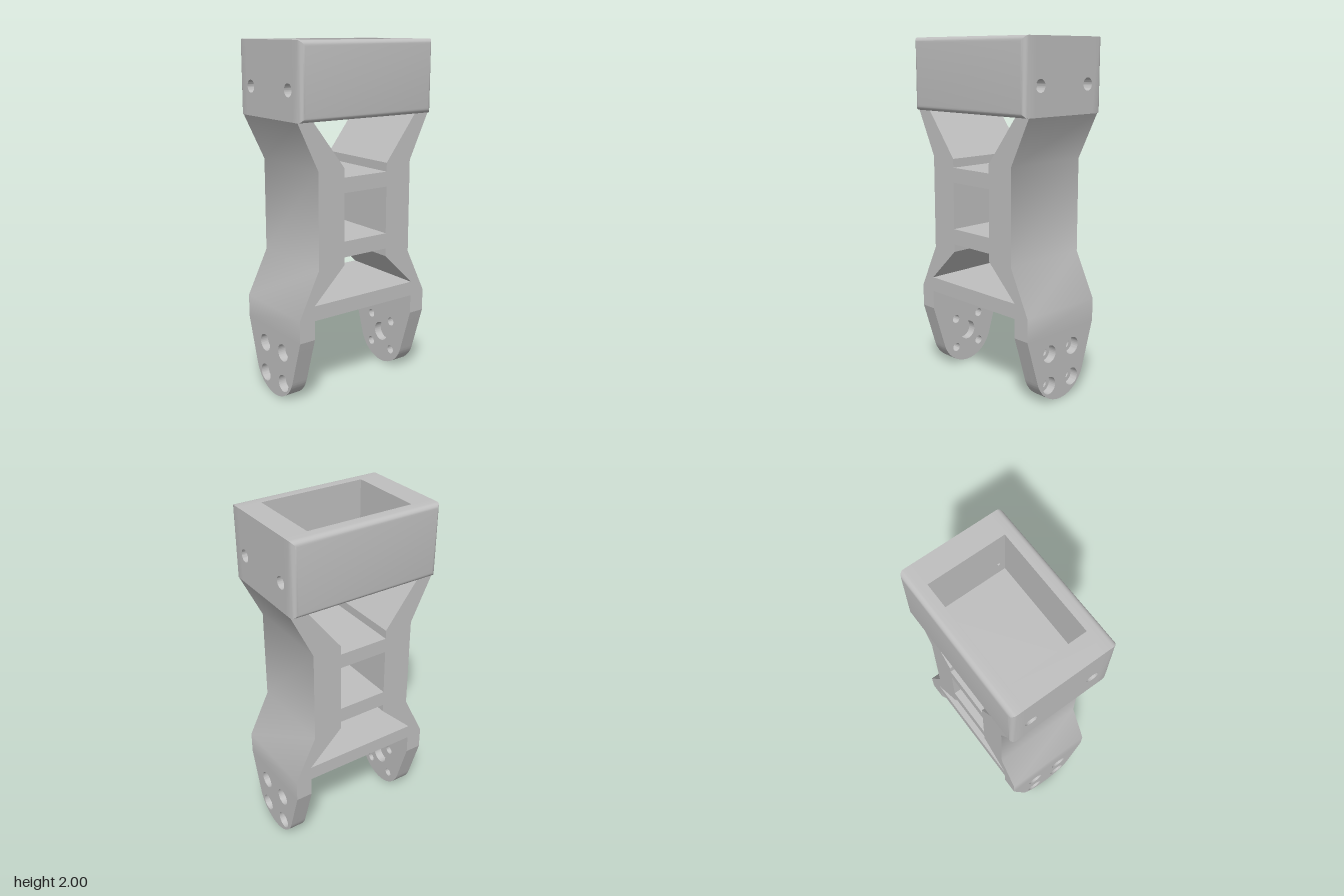
import * as THREE from 'three';
import { toCreasedNormals } from 'three/addons/utils/BufferGeometryUtils.js';

const CREASE = 0.6;
const HALF_W = 0.445, BOX_BOTTOM = 1.59, BOX_TOP = 2, FLOOR_TOP = 1.67;
const CAVITY_X = 0.312, CAVITY_Z = 0.223, FILLET = 0.03;

function polygon(points) {
  return new THREE.Shape(points.map(([x, y]) => new THREE.Vector2(x, y)));
}

function addHole(shape, x, y, r) {
  const hole = new THREE.Path();
  hole.absarc(x, y, r, 0, Math.PI * 2, true);
  shape.holes.push(hole);
}

function extrude(shape, depth) {
  const geo = new THREE.ExtrudeGeometry(shape, { depth, bevelEnabled: false, curveSegments: 32 });
  return toCreasedNormals(geo, CREASE);
}

// Plate drawn in the side plane (z, y), running from x0 to x1
function sidePlate(shape, x0, x1) {
  return extrude(shape, x1 - x0).rotateY(Math.PI / 2).translate(x0, 0, 0);
}

// Front wall of the socket, with a fillet around its outer face
function filletedWall() {
  const h = BOX_TOP - BOX_BOTTOM, steps = 6;
  const geo = new THREE.BoxGeometry(2 * HALF_W, h, 1, 1, 1, steps);
  const p = geo.attributes.position;
  for (let i = 0; i < p.count; i++) {
    const step = Math.round((p.getZ(i) + 0.5) * steps);
    const a = Math.max(0, step - 1) / (steps - 1) * Math.PI / 2;
    const inset = FILLET * (1 - Math.cos(a));
    const z = step === 0 ? CAVITY_Z : 0.27 + FILLET * Math.sin(a);
    p.setXYZ(i, p.getX(i) - Math.sign(p.getX(i)) * inset,
      p.getY(i) - Math.sign(p.getY(i)) * inset, z);
  }
  geo.translate(0, (BOX_TOP + BOX_BOTTOM) / 2, 0);
  return toCreasedNormals(geo, CREASE);
}

// Side wall of the socket with two screw holes
function socketSide(r) {
  const s = polygon([[-CAVITY_Z, BOX_BOTTOM], [CAVITY_Z, BOX_BOTTOM], [CAVITY_Z, BOX_TOP], [-CAVITY_Z, BOX_TOP]]);
  for (const z of [-0.183, 0.183]) addHole(s, z, 1.75, r);
  return s;
}

// Tapered foot plate with a round end and four bolt holes
function footShape(r, hubRadius) {
  const s = new THREE.Shape();
  const c = 0.195, t = -0.302;
  s.moveTo(0.268, 0.4);
  s.lineTo(-0.268, 0.4);
  s.absarc(0, c, c, Math.PI - t, 2 * Math.PI + t, false);
  s.closePath();
  for (const z of [-0.093, 0.093]) for (const y of [0.102, 0.288]) addHole(s, z, y, r);
  if (hubRadius) addHole(s, 0, c, hubRadius);
  return s;
}

// Braced frame outline with its two windows
function frameShape() {
  const half = [
    [0.147, 1.28], [0.147, 1.33], [0.348, BOX_BOTTOM], [HALF_W, BOX_BOTTOM], [0.318, 1.33],
    [0.318, 0.79], [HALF_W, 0.53], [HALF_W, 0.4], [0.348, 0.4], [0.348, 0.51],
  ];
  const mirror = half.map(([x, y]) => [-x, y]).reverse();
  const s = polygon([...half, ...mirror]);
  s.holes.push(polygon([[-0.147, 0.925], [0.147, 0.925], [0.147, 1.195], [-0.147, 1.195]]));
  s.holes.push(polygon([
    [-0.348, 0.595], [0.348, 0.595], [0.147, 0.79], [0.147, 0.835], [-0.147, 0.835], [-0.147, 0.79],
  ]));
  return s;
}

export function createModel() {
  const model = new THREE.Group();
  model.name = 'bracket';
  const grey = new THREE.MeshStandardMaterial({ color: 0xbfbfbf });
  grey.name = 'grey';

  const add = (name, geo, parent = model) => {
    const mesh = new THREE.Mesh(geo, grey);
    mesh.name = name;
    parent.add(mesh);
    return mesh;
  };

  // Braced frame
  add('frame', extrude(frameShape(), 0.536).translate(0, 0, -0.268));

  // Open-topped socket
  const socket = new THREE.Group();
  socket.name = 'socket';
  model.add(socket);
  add('frontWall', filletedWall(), socket);
  add('backWall', filletedWall(), socket).rotation.y = Math.PI;
  const floorH = FLOOR_TOP - BOX_BOTTOM;
  add('socketFloor', new THREE.BoxGeometry(2 * CAVITY_X, floorH, 2 * CAVITY_Z)
    .translate(0, BOX_BOTTOM + floorH / 2, 0), socket);

  // Side walls and feet: wide counterbores outside, narrow holes inside
  for (const [side, turn] of [['left', 0], ['right', Math.PI]]) {
    const half = new THREE.Group();
    half.name = side + 'Side';
    half.rotation.y = turn;
    model.add(half);
    add('socketWallInner', sidePlate(socketSide(0.01), CAVITY_X, 0.385), half);
    add('socketWallOuter', sidePlate(socketSide(0.035), 0.385, HALF_W), half);
    add('footInner', sidePlate(footShape(0.026, 0.058), 0.348, 0.397), half);
    add('footOuter', sidePlate(footShape(0.05, 0), 0.397, HALF_W), half);
  }
  return model;
}
